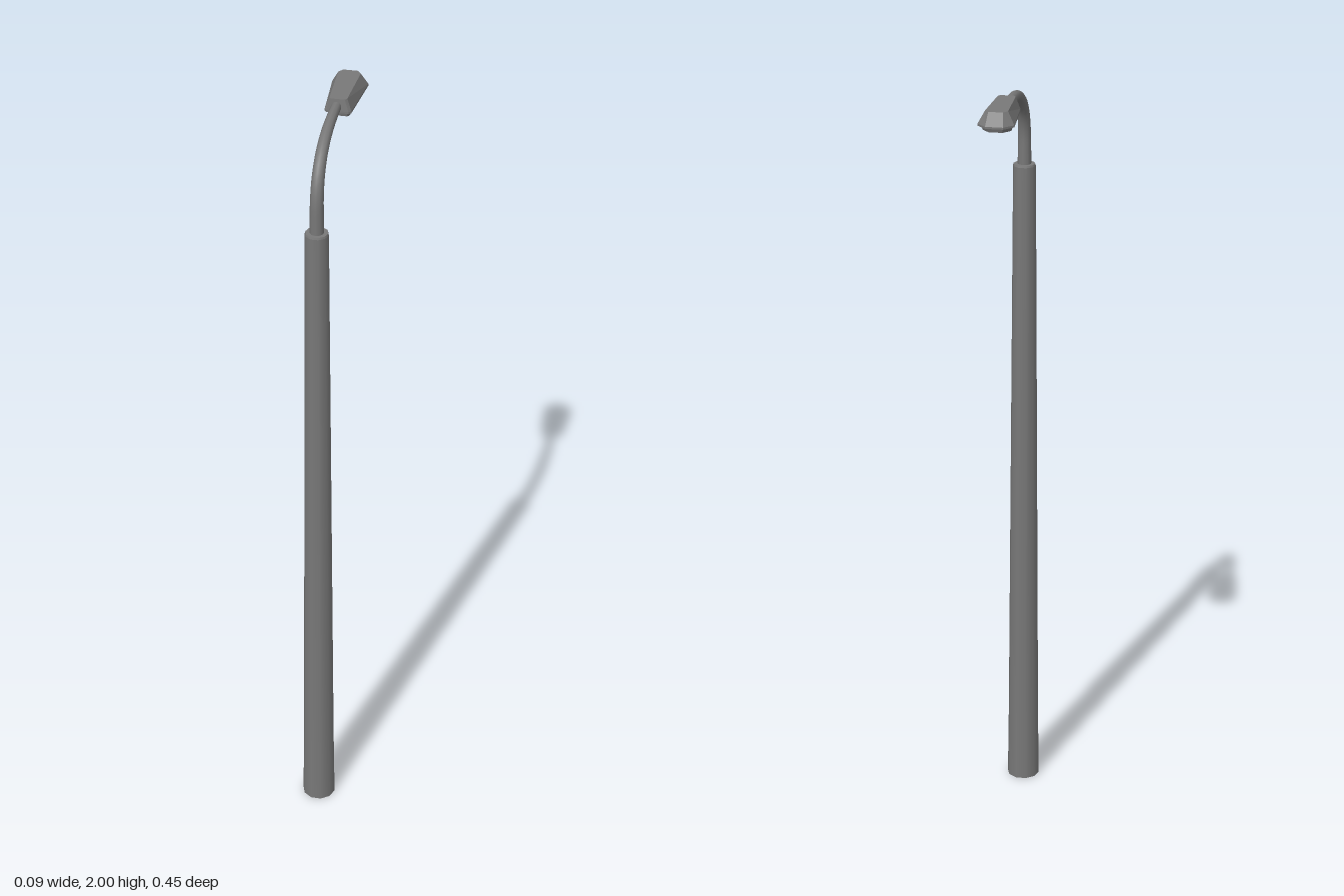
import * as THREE from 'three';

const metal = new THREE.MeshStandardMaterial({ color: 0x787878 });
metal.name = 'grey metal';
const glass = new THREE.MeshStandardMaterial({ color: 0xe2e2e2 });
glass.name = 'pale lens';

const POLE_X = -0.003, POLE_Z = 0.183;

function add(parent, name, geometry, material) {
  const mesh = new THREE.Mesh(geometry, material);
  mesh.name = name;
  parent.add(mesh);
  return mesh;
}

// Eight-sided lamp outline at height y: four [half width, z] corners from the
// pole end to the tip, mirrored; runs counterclockwise seen from above
function ring(y, corners) {
  const left = corners.map(([x, z]) => new THREE.Vector3(x, y, z));
  const right = corners.map(([x, z]) => new THREE.Vector3(-x, y, z)).reverse();
  return [...left, ...right];
}

// Flat-faced skin through rings listed from top to bottom
function loft(rings, capTop, capBottom) {
  const pos = [];
  const tri = (...points) => points.forEach((p) => pos.push(p.x, p.y, p.z));
  for (let r = 0; r + 1 < rings.length; r++) {
    const a = rings[r], b = rings[r + 1], n = a.length;
    for (let i = 0; i < n; i++) {
      const j = (i + 1) % n;
      tri(a[i], b[i], b[j]);
      tri(a[i], b[j], a[j]);
    }
  }
  const top = rings[0], low = rings[rings.length - 1];
  for (let i = 1; i + 1 < top.length; i++) {
    if (capTop) tri(top[0], top[i], top[i + 1]);
    if (capBottom) tri(low[0], low[i + 1], low[i]);
  }
  const g = new THREE.BufferGeometry();
  g.setAttribute('position', new THREE.Float32BufferAttribute(pos, 3));
  g.computeVertexNormals();
  return g;
}

export function createModel() {
  const model = new THREE.Group();
  model.name = 'streetLamp';

  // Pole: straight foot, long taper and a tiny chamfer at the top
  const pole = new THREE.Group();
  pole.name = 'pole';
  pole.position.set(POLE_X, 0, POLE_Z);
  model.add(pole);
  const levels = [[0, 0.0435], [0.2, 0.041], [1.757, 0.0295], [1.762, 0.028]];
  const names = ['poleFoot', 'poleShaft', 'poleTop'];
  names.forEach((name, i) => {
    const [y0, r0] = levels[i], [y1, r1] = levels[i + 1];
    const g = new THREE.CylinderGeometry(r1, r0, y1 - y0, 10, 1, true, Math.PI / 2);
    g.translate(0, (y0 + y1) / 2, 0);
    add(pole, name, g, metal);
  });
  // Closing discs
  const disc = (name, r, y, tilt) => {
    const g = new THREE.CircleGeometry(r, 10).rotateX(tilt);
    add(pole, name, g, metal).position.y = y;
  };
  disc('poleCap', 0.028, 1.762, -Math.PI / 2);
  disc('poleUnderside', 0.0435, 0, Math.PI / 2);

  // Arm: rises from the pole and bends to the back, thinning along the way
  const p = (y, z) => new THREE.Vector3(POLE_X, y, z);
  const path = new THREE.CurvePath();
  path.add(new THREE.LineCurve3(p(1.74, 0.183), p(1.82, 0.183)));
  path.add(new THREE.CubicBezierCurve3(p(1.82, 0.183), p(1.93, 0.183), p(1.978, 0.11), p(1.98, -0.02)));
  path.add(new THREE.LineCurve3(p(1.98, -0.02), p(1.981, -0.06)));
  const steps = 24, sides = 10;
  const arm = new THREE.TubeGeometry(path, steps, 0.018, sides);
  const at = arm.attributes.position, v = new THREE.Vector3();
  for (let i = 0; i < at.count; i++) {
    const u = Math.floor(i / (sides + 1)) / steps;
    const c = path.getPointAt(u);
    v.fromBufferAttribute(at, i).sub(c).multiplyScalar(1 - 0.33 * u).add(c);
    at.setXYZ(i, v.x, v.y, v.z);
  }
  add(model, 'arm', arm, metal);

  // Lamp head: bevelled hood, then a rim around a recessed lens
  const head = new THREE.Group();
  head.name = 'lampHead';
  model.add(head);
  const edge = [[0.027, -0.044], [0.033, -0.05], [0.045, -0.2], [0.022, -0.225]];
  const inner = [[0.016, -0.069], [0.02, -0.074], [0.029, -0.18], [0.014, -0.199]];
  const lensEdge = ring(1.954, inner);
  const hood = [
    ring(2.0, [[0.017, -0.047], [0.022, -0.054], [0.028, -0.19], [0.018, -0.203]]),
    ring(1.969, edge),
    ring(1.964, edge),
    ring(1.964, [[0.023, -0.053], [0.028, -0.058], [0.038, -0.19], [0.019, -0.212]]),
    ring(1.951, [[0.021, -0.056], [0.026, -0.062], [0.035, -0.186], [0.017, -0.207]]),
    ring(1.951, inner),
    lensEdge,
  ];
  add(head, 'hood', loft(hood, true, false), metal);
  add(head, 'lens', loft([lensEdge], false, true), glass);

  return model;
}
